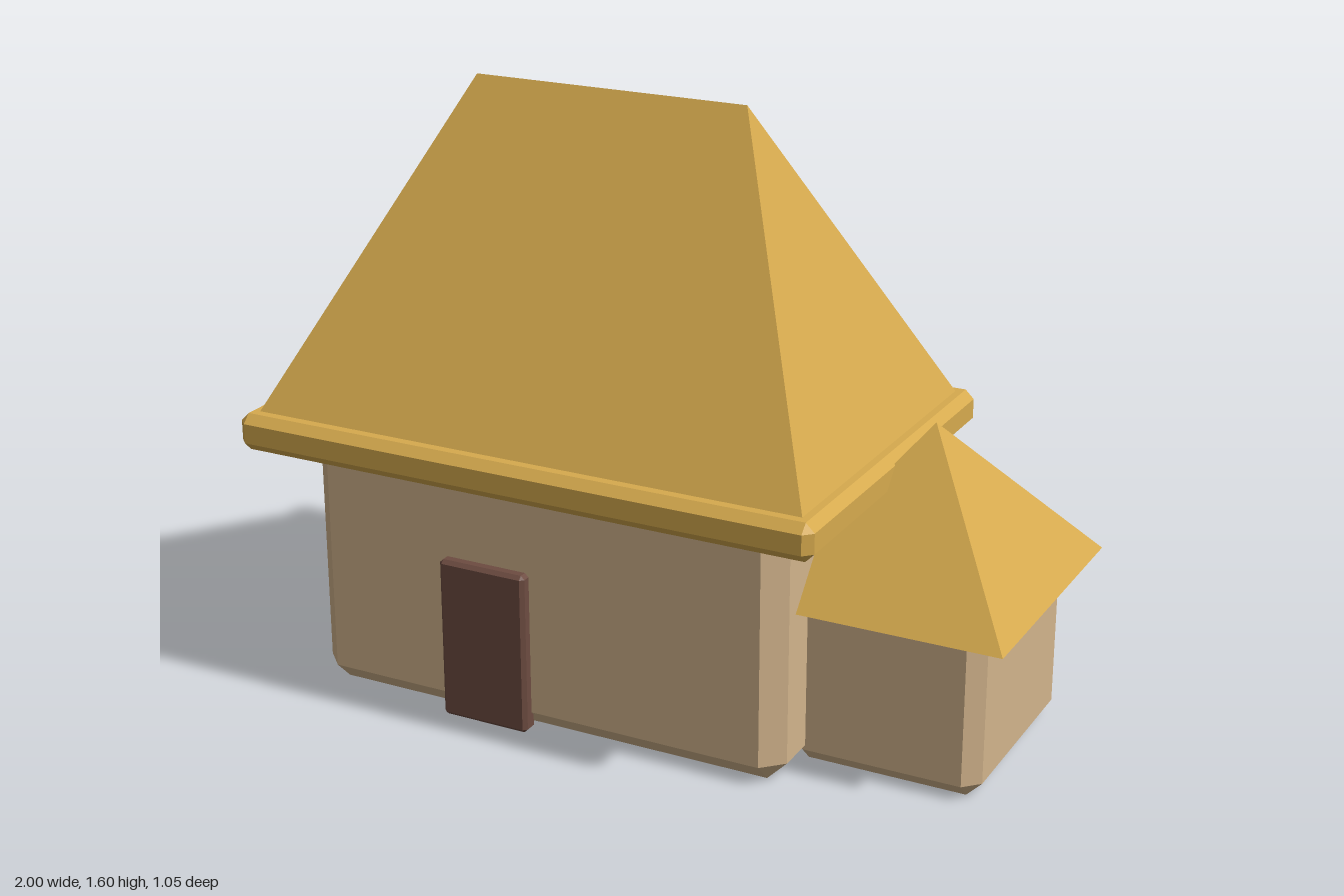
import * as THREE from 'three';
import { ConvexGeometry } from 'three/addons/geometries/ConvexGeometry.js';

const material = (name, color) => {
  const m = new THREE.MeshStandardMaterial({ color });
  m.name = name;
  return m;
};

// Box between two corners, every edge cut by a flat chamfer c
function chamferedBox([x0, y0, z0], [x1, y1, z1], c) {
  const centre = new THREE.Vector3(x0 + x1, y0 + y1, z0 + z1).multiplyScalar(0.5);
  const half = new THREE.Vector3(x1 - x0, y1 - y0, z1 - z0).multiplyScalar(0.5);
  const points = [];
  for (const sx of [-1, 1]) for (const sy of [-1, 1]) for (const sz of [-1, 1]) {
    for (const axis of ['x', 'y', 'z']) {
      const p = half.clone().subScalar(c);
      p[axis] += c;
      points.push(p.multiply(new THREE.Vector3(sx, sy, sz)).add(centre));
    }
  }
  return new ConvexGeometry(points);
}

// Hipped roof: rectangular eaves rising to a ridge, or to a point if ridge is 0
function hippedRoof(cx, cz, halfX, halfZ, base, top, ridge) {
  const points = [];
  for (const sx of [-1, 1]) {
    for (const sz of [-1, 1]) points.push(new THREE.Vector3(cx + sx * halfX, base, cz + sz * halfZ));
    if (ridge > 0 || sx > 0) points.push(new THREE.Vector3(cx + sx * ridge, top, cz));
  }
  return new ConvexGeometry(points);
}

export function createModel() {
  const group = new THREE.Group();
  group.name = 'cottage';
  const plaster = material('tan plaster', 0xd2b48c);
  const thatch = material('golden thatch', 0xd6aa4e);
  const wood = material('dark brown wood', 0x6d4c41);

  const add = (name, geometry, mat) => {
    const mesh = new THREE.Mesh(geometry, mat);
    mesh.name = name;
    group.add(mesh);
  };

  // Main house
  add('mainWalls', chamferedBox([-0.872, 0, -0.395], [0.472, 0.745, 0.395], 0.053), plaster);
  add('eavesSlab', chamferedBox([-1, 0.677, -0.525], [0.605, 0.775, 0.525], 0.023), thatch);
  add('mainRoof', hippedRoof(-0.198, 0, 0.765, 0.484, 0.765, 1.595, 0.38), thatch);
  add('door', chamferedBox([-0.47, 0.003, 0.375], [-0.222, 0.44, 0.425], 0.01), wood);

  // Side annex
  add('annexWalls', chamferedBox([0.425, 0, -0.347], [0.925, 0.47, 0.235], 0.04), plaster);
  add('annexRoof', hippedRoof(0.675, -0.057, 0.325, 0.363, 0.44, 0.848, 0), thatch);

  return group;
}
